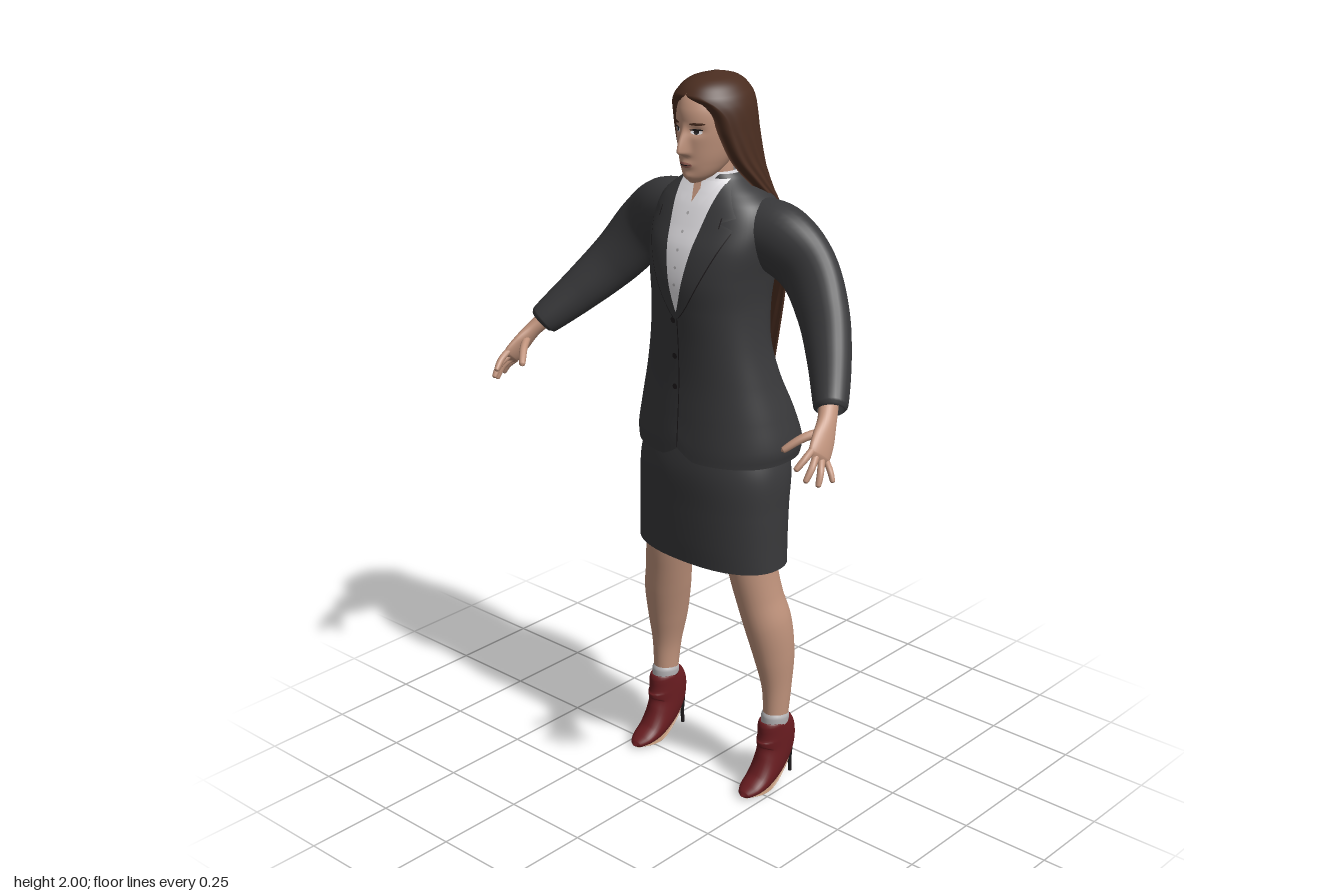
import * as THREE from 'three';
import { ParametricGeometry } from 'three/addons/geometries/ParametricGeometry.js';

const { smoothstep, clamp } = THREE.MathUtils;
const mat = (name, color, double) => {
  const m = new THREE.MeshStandardMaterial({ color, side: double ? THREE.DoubleSide : THREE.FrontSide });
  m.name = name;
  return m;
};
const M = {
  suit: mat('charcoal cloth', 0x38383a, true),
  skin: mat('skin', 0xc0937c, true),
  hair: mat('brown hair', 0x4a2d20, true),
  boot: mat('dark red leather', 0x681c20, true),
  shirt: mat('white cotton', 0xe6e4e8, true),
  sock: mat('grey knit', 0xb4b2b4, true),
  sole: mat('tan sole', 0xb58f72, true),
  dark: mat('near black', 0x1e1a1c, true),
  lip: mat('lips', 0xa0665a, true),
};

// Smooth interpolation of rows [y, halfWidth, zBack, zFront, arc] at height y
function rowAt(rows, y) {
  let i = 0;
  while (i < rows.length - 2 && y > rows[i + 1][0]) i++;
  const a = rows[i], b = rows[i + 1], p = rows[i - 1] || a, n = rows[i + 2] || b;
  const h = b[0] - a[0], t = clamp((y - a[0]) / h, 0, 1), t2 = t * t, t3 = t2 * t;
  return a.map((v, k) => {
    const m0 = (b[k] - p[k]) / (b[0] - p[0]), m1 = (n[k] - v) / (n[0] - a[0]);
    return (2 * t3 - 3 * t2 + 1) * v + (t3 - 2 * t2 + t) * h * m0 + (3 * t2 - 2 * t3) * b[k] + (t3 - t2) * h * m1;
  });
}

// Stacked horizontal cross-sections; dir 1 centres the arc on the front, -1 on the back
function shell(rows, { dir = 1, p = 2, nu = 72, nv = 80, tweak } = {}) {
  const y0 = rows[0][0], y1 = rows[rows.length - 1][0];
  return new ParametricGeometry((u, v, o) => {
    const y = y0 + (y1 - y0) * (1 - Math.pow(1 - v, 1.6));
    const [, w, zb, zf, arc = 1] = rowAt(rows, y);
    const t = u * 2 - 1, th = t * Math.min(arc, 1) * Math.PI;
    const se = (s) => Math.sign(s) * Math.pow(Math.abs(s), 2 / p);
    o.set(dir * w * se(Math.sin(th)), y, (zb + zf) / 2 + dir * (zf - zb) / 2 * se(Math.cos(th)));
    if (tweak) tweak(o, t, th, (zb + zf) / 2);
  }, nu, nv);
}

// Depth of such a shell at (x, y)
const depth = (rows, p = 2, bump = () => 0, dir = 1) => (x, y) => {
  const [, w, zb, zf] = rowAt(rows, y);
  const k = Math.pow(Math.max(0, 1 - Math.pow(Math.abs(x / w), p)), 1 / p);
  return (zb + zf) / 2 + dir * (zf - zb) / 2 * k + bump(x, y);
};

// Thin plate lying on a surface between two edge curves
const patch = (surf, y0, y1, xl, xr, off) => new ParametricGeometry((u, v, o) => {
  const y = y0 + (y1 - y0) * v, x = xl(y) + (xr(y) - xl(y)) * u;
  o.set(x, y, surf(x, y) + off);
}, 10, 24);
const spot = (surf, cx, cy, hw, hh, off) => {
  const e = (y) => hw * Math.sqrt(Math.max(0, 1 - ((y - cy) / hh) ** 2));
  return patch(surf, cy - hh, cy + hh, (y) => cx - e(y), (y) => cx + e(y), off);
};

// Tapered tube through points [x, y, z, radiusU, radiusV]
function limb(pts, { ref = [0, 0, 1], nu = 28, nv = 40 } = {}) {
  const path = new THREE.CatmullRomCurve3(pts.map((q) => new THREE.Vector3(q[0], q[1], q[2])));
  const rad = new THREE.CatmullRomCurve3(pts.map((q, i) => new THREE.Vector3(q[3], q[4] ?? q[3], i * 0.05)));
  const R = new THREE.Vector3(...ref);
  return new ParametricGeometry((u, v, o) => {
    const T = path.getTangent(v), r = rad.getPoint(v);
    const U = T.clone().cross(R).normalize(), V = T.clone().cross(U), f = u * Math.PI * 2;
    o.copy(path.getPoint(v)).addScaledVector(U, Math.cos(f) * r.x).addScaledVector(V, Math.sin(f) * r.y);
  }, nu, nv);
}

const JACKET = [
  [0.985, .235, -.245, .094], [1.02, .24, -.25, .093], [1.1, .222, -.228, .088], [1.2, .194, -.187, .083],
  [1.3, .172, -.165, .085], [1.4, .163, -.175, .092], [1.48, .168, -.19, .096], [1.56, .18, -.195, .082],
  [1.62, .18, -.193, .056], [1.67, .163, -.183, .032], [1.7, .13, -.165, .014], [1.73, .085, -.14, -.004],
  [1.745, .068, -.128, -.01],
];
const HEAD = [
  [1.726, .012, .0, .036], [1.745, .038, -.05, .05], [1.78, .058, -.1, .057], [1.82, .07, -.13, .06],
  [1.87, .076, -.14, .062], [1.92, .073, -.14, .058], [1.96, .058, -.12, .03], [1.985, .025, -.09, -.02],
];
const HAIR = [
  [1.19, .1, -.197, -.125, .5], [1.32, .125, -.202, -.13, .5], [1.45, .143, -.212, -.13, .5], [1.58, .148, -.215, -.115, .5],
  [1.66, .138, -.206, -.06, .52], [1.72, .127, -.194, .01, .58], [1.78, .117, -.183, .042, .67], [1.85, .11, -.173, .055, .74],
  [1.9, .105, -.17, .063, .78], [1.93, .098, -.167, .064, .86], [1.955, .085, -.157, .055, 1], [1.985, .053, -.122, .018, 1],
  [2.0, .002, -.06, -.045, 1],
];
const SKIRT = [
  [.68, .235, -.18, .08, .97], [.74, .233, -.184, .083, .98], [.84, .231, -.193, .085, .999], [.95, .226, -.208, .085, 1], [1.06, .19, -.2, .065, 1],
];

// Nose, eye sockets, lips and chin as relief on the face
function faceRelief(x, y) {
  const g = (cx, cy, sx, sy) => Math.exp(-(((x - cx) / sx) ** 2) - ((y - cy) / sy) ** 2);
  const nose = .03 * smoothstep(y, 1.795, 1.813) * (1 - smoothstep(y, 1.81, 1.89)) * Math.exp(-((x / .012) ** 2));
  const sockets = g(.031, 1.865, .017, .012) + g(-.031, 1.865, .017, .012);
  return nose - .007 * sockets + .006 * g(0, 1.778, .02, .01) + .006 * g(0, 1.745, .02, .012);
}

export function createModel() {
  const model = new THREE.Group();
  model.name = 'woman in suit';
  const add = (name, geo, material, parent = model) => {
    const m = new THREE.Mesh(geo, material);
    m.name = name;
    parent.add(m);
    return m;
  };

  // Jacket body with a small cutaway at the front hem, and skirt with a back slit
  add('jacket', shell(JACKET, {
    p: 2.3,
    tweak: (o) => { if (o.z > 0) o.y += .03 * Math.exp(-((o.x / .03) ** 2)) * (1 - smoothstep(o.y, .985, 1.1)); },
  }), M.suit);
  add('skirt', shell(SKIRT, { p: 2.3, nv: 40 }), M.suit);

  // Shirt front, collar and lapels
  const chest = depth(JACKET, 2.3), back = depth(JACKET, 2.3, undefined, -1);
  const vee = (y) => .072 * Math.pow(clamp((y - 1.39) / .34, 0, 1), .8);
  const outer = (y) => (y < 1.625 ? .135 * Math.pow(clamp((y - 1.375) / .25, 0, 1), .75)
    : y < 1.65 ? .1 : Math.max(.078, .135 - (y - 1.65) * .7));
  add('shirtFront', patch(chest, 1.39, 1.735, (y) => -vee(y), vee, .004), M.shirt);
  add('neckOpening', patch(chest, 1.675, 1.73, (y) => -(y - 1.675) * .35, (y) => (y - 1.675) * .35, .006), M.skin);
  add('shirtCollar', shell([[1.69, .074, -.14, .006, .9], [1.72, .066, -.132, .004, .9], [1.75, .058, -.122, .0, .86]], { dir: -1, nv: 8 }), M.shirt);
  for (let i = 0; i < 5; i++) add('shirtButton', spot(chest, 0, 1.65 - i * .045, .004, .004, .007), M.sock);
  for (const s of [1, -1]) {
    add('collarWing', patch(chest, 1.665, 1.73, (y) => s * (.008 + (1.73 - y) * .3), (y) => s * (.03 + (y - 1.665) * .5), .009), M.shirt);
    add('lapel', patch(chest, 1.375, 1.725, (y) => s * vee(y), (y) => s * outer(y), .008), M.suit);
    add('lapelEdge', patch(chest, 1.38, 1.625, (y) => s * outer(y), (y) => s * (outer(y) + .003), .007), M.dark);
    add('lapelNotch', patch(chest, 1.625, 1.65, () => s * .1, () => s * .103, .008), M.dark);
  }
  add('frontClosure', patch(chest, 1.02, 1.39, () => -.001, () => .002, .003), M.dark);
  for (const y of [1.37, 1.27, 1.185]) add('jacketButton', spot(chest, -.012, y, .008, .008, .005), M.dark);
  add('backVent', patch(back, .99, 1.17, () => -.002, () => .002, -.003), M.dark);

  // Head and neck
  add('neck', limb([[0, 1.6, -.08, .052], [0, 1.7, -.062, .048], [0, 1.8, -.05, .047]]), M.skin);
  add('head', shell(HEAD, {
    nu: 110, nv: 90,
    tweak: (o, t, th) => { if (Math.cos(th) > 0) o.z += faceRelief(o.x, o.y); },
  }), M.skin);
  const face = depth(HEAD, 2, faceRelief);
  for (const s of [1, -1]) {
    add('eyeWhite', spot(face, s * .031, 1.863, .013, .006, .002), M.shirt);
    add('iris', spot(face, s * .031, 1.863, .006, .0058, .0035), M.dark);
    add('upperLash', spot(face, s * .032, 1.869, .015, .0025, .004), M.dark);
    add('eyebrow', spot(face, s * .034, 1.884, .017, .0035, .003), M.hair);
  }
  add('lips', spot(face, 0, 1.777, .02, .0075, .002), M.lip);
  add('lipLine', spot(face, 0, 1.777, .018, .0012, .003), M.dark);

  // Long hair: crown cap open at the face, falling to a ragged curtain
  add('hair', shell(HAIR, {
    dir: -1, nu: 120, nv: 90,
    tweak: (o, t, th, zc) => {
      const low = 1 - smoothstep(o.y, 1.2, 1.5), open = 1 - smoothstep(o.y, 1.93, 1.955);
      const k = 1 - .14 * open * smoothstep(o.y, 1.6, 1.75) * smoothstep(Math.abs(t), .85, 1)
        + .018 * Math.sin(t * 47) * (1 - smoothstep(o.y, 1.75, 1.95));
      o.x *= k;
      o.z = zc + (o.z - zc) * k;
      o.y += low * (.03 * Math.sin(t * 9 + 1) + .022 * Math.sin(t * 31) + .014 * Math.sin(t * 67 + 2));
    },
  }), M.hair);

  // Arms, hands, legs and boots, built on the left and mirrored in x
  for (const s of [1, -1]) {
    const side = s > 0 ? 'left' : 'right';
    const flip = (pts) => pts.map(([x, ...rest]) => [x * s, ...rest]);
    const part = (name, pts, material, opt) => add(side + name, limb(flip(pts), opt), material);

    part('Sleeve', [[.11, 1.605, -.085, .085, .08], [.2, 1.585, -.09, .096, .074], [.28, 1.53, -.092, .09, .06],
      [.36, 1.435, -.06, .077, .056], [.43, 1.35, .0, .063, .052], [.505, 1.258, .085, .044, .042], [.509, 1.252, .09, .034, .034]], M.suit);
    part('Palm', [[.495, 1.27, .08, .024, .026], [.518, 1.235, .115, .02, .027], [.533, 1.2, .147, .017, .036],
      [.544, 1.168, .176, .013, .037], [.548, 1.156, .187, .002, .02]], M.skin);
    const fingers = [
      ['Thumb', [.522, 1.215, .135], [.492, 1.2, .178], [.462, 1.172, .213], .011],
      ['IndexFinger', [.537, 1.188, .193], [.536, 1.17, .222], [.529, 1.148, .247], .009],
      ['MiddleFinger', [.541, 1.174, .182], [.552, 1.148, .214], [.551, 1.12, .236], .009],
      ['RingFinger', [.545, 1.162, .168], [.563, 1.135, .193], [.569, 1.105, .209], .009],
      ['LittleFinger', [.549, 1.15, .154], [.571, 1.13, .165], [.583, 1.108, .17], .008],
    ];
    for (const [name, a, b, c, r] of fingers) {
      const tip = c.map((v, i) => v + (c[i] - b[i]) * .12);
      part(name, [[...a, r], [...b, r], [...c, r * .75], [...tip, r * .05]], M.skin, { nu: 12, nv: 18 });
    }

    part('Leg', [[.125, .88, -.045, .075, .08], [.15, .68, -.042, .066, .072], [.168, .58, -.054, .062, .069], [.186, .5, -.069, .062, .071],
      [.199, .4, -.083, .052, .063], [.207, .3, -.086, .038, .046], [.208, .19, -.08, .032, .036]], M.skin);
    part('Sock', [[.208, .18, -.078, .035, .041], [.208, .215, -.08, .037, .042], [.208, .227, -.081, .033, .037]], M.sock);
    part('Boot', [[.207, .203, -.072, .038, .034], [.207, .198, -.072, .05, .037], [.207, .16, -.084, .069, .039], [.207, .115, -.083, .067, .039],
      [.207, .07, -.055, .055, .039], [.207, .035, -.012, .033, .039], [.207, .021, .025, .019, .034], [.207, .013, .05, .011, .02],
      [.207, .011, .06, .002, .004]], M.boot, { ref: [1, 0, 0] });
    part('Sole', [[.207, .1, -.143, .004, .014], [.207, .06, -.116, .005, .022], [.207, .03, -.085, .005, .026],
      [.207, .008, -.04, .005, .032], [.207, .005, .005, .004, .033], [.207, .005, .05, .003, .012]], M.sole, { ref: [1, 0, 0] });
    part('Heel', [[.207, .125, -.138, .018, .02], [.207, .09, -.145, .011, .012], [.207, .045, -.149, .006, .006],
      [.207, .001, -.151, .005, .005], [.207, 0, -.151, .0005, .0005]], M.dark, { ref: [1, 0, 0], nu: 12 });
  }
  return model;
}
